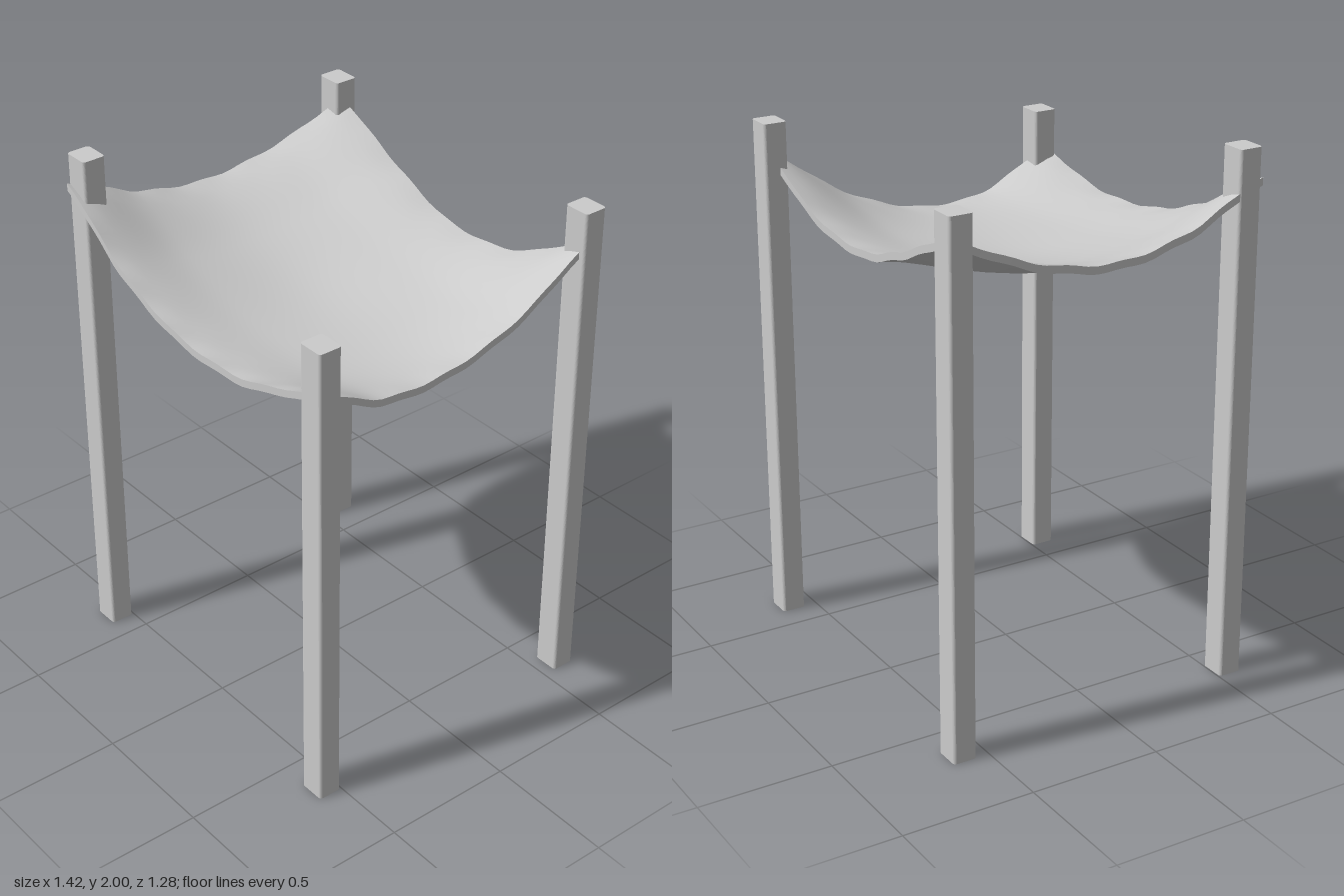
import * as THREE from 'three';

const material = new THREE.MeshStandardMaterial({ color: 0xcccccc });

// Smooth curve through evenly spaced values, read at t in 0..1
const spline = (values, t) =>
  new THREE.SplineCurve(values.map((v, i) => new THREE.Vector2(i, v))).getPoint(t).y;

// Upright post with softly rounded vertical edges
function makePost(name, x, z, height) {
  const w = 0.051, d = 0.045, r = 0.012;
  const s = new THREE.Shape();
  s.absarc(w - r, d - r, r, 0, Math.PI / 2);
  s.absarc(-w + r, d - r, r, Math.PI / 2, Math.PI);
  s.absarc(-w + r, -d + r, r, Math.PI, Math.PI * 1.5);
  s.absarc(w - r, -d + r, r, Math.PI * 1.5, Math.PI * 2);
  const geo = new THREE.ExtrudeGeometry(s, { depth: height, bevelEnabled: false, curveSegments: 3 });
  geo.rotateX(-Math.PI / 2);
  const post = new THREE.Mesh(geo, material);
  post.name = name;
  post.position.set(x, 0, z);
  return post;
}

// Sagging sheet: a thin slab whose outline and height follow splines
function makeCloth() {
  // Heights of the upper face, rows from back to front, columns from -x to +x
  const heights = [
    [1.86, 1.73, 1.635, 1.66, 1.81],
    [1.745, 1.64, 1.57, 1.56, 1.63],
    [1.70, 1.605, 1.53, 1.515, 1.53],
    [1.755, 1.635, 1.55, 1.525, 1.54],
    [1.885, 1.71, 1.60, 1.585, 1.67],
  ];
  // Slightly bowed outline
  const minX = [-0.66, -0.695, -0.71, -0.7, -0.68];
  const maxX = [0.685, 0.675, 0.66, 0.66, 0.672];
  const backZ = [-0.615, -0.595, -0.57, -0.568, -0.585];
  const frontZ = [0.608, 0.63, 0.635, 0.62, 0.592];
  const thickness = 0.028;

  const geo = new THREE.BoxGeometry(1, 1, 1, 32, 1, 32);
  const p = geo.attributes.position;
  for (let i = 0; i < p.count; i++) {
    const u = p.getX(i) + 0.5, v = p.getZ(i) + 0.5;
    const top = spline(heights.map((row) => spline(row, u)), v);
    // Faint ripple along the hems only
    const hem = Math.pow(Math.max(Math.abs(2 * u - 1), Math.abs(2 * v - 1)), 12);
    const ripple = 0.004 * hem * Math.sin(38 * u + 5) * Math.sin(38 * v + 4);
    p.setXYZ(
      i,
      THREE.MathUtils.lerp(spline(minX, v), spline(maxX, v), u),
      top + ripple + (p.getY(i) < 0 ? -thickness : 0),
      THREE.MathUtils.lerp(spline(backZ, u), spline(frontZ, u), v)
    );
  }
  geo.computeVertexNormals();
  const cloth = new THREE.Mesh(geo, material);
  cloth.name = 'canopyCloth';
  return cloth;
}

export function createModel() {
  const model = new THREE.Group();
  model.name = 'canopy';
  model.add(
    makePost('frontRightPost', -0.637, 0.55, 2.0),
    makePost('frontLeftPost', 0.658, 0.55, 1.84),
    makePost('backRightPost', -0.662, -0.595, 1.96),
    makePost('backLeftPost', 0.658, -0.595, 1.95),
    makeCloth()
  );
  return model;
}
